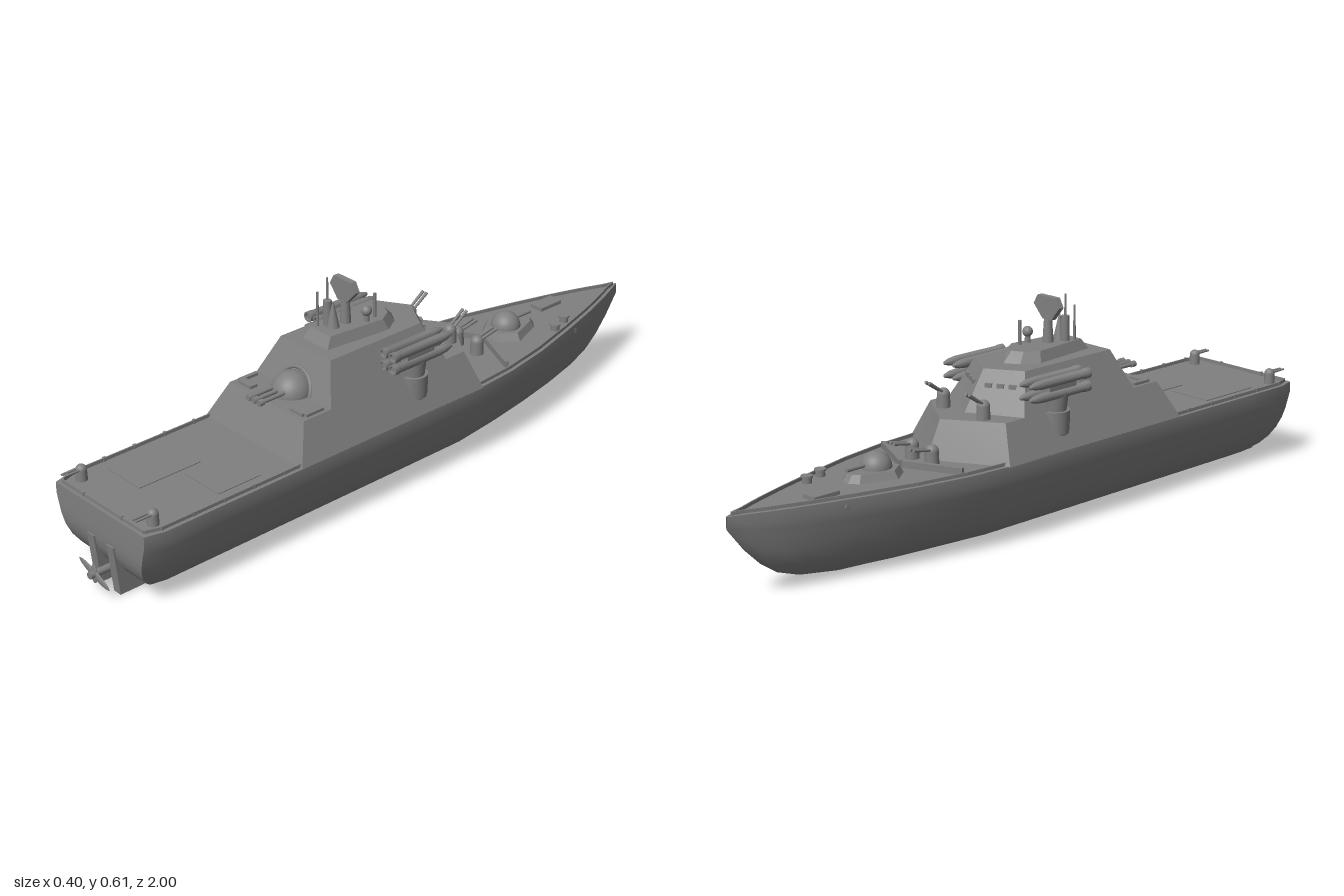
import * as THREE from 'three';
import { toCreasedNormals } from 'three/addons/utils/BufferGeometryUtils.js';

const mat = new THREE.MeshStandardMaterial({ color: 0x808080, side: THREE.DoubleSide });
const DECK = 0.236;

function add(parent, name, geo, x = 0, y = 0, z = 0, rx = 0, ry = 0, rz = 0) {
  const m = new THREE.Mesh(geo, mat);
  m.name = name;
  m.position.set(x, y, z);
  m.rotation.set(rx, ry, rz);
  parent.add(m);
  return m;
}
const box = (w, h, d) => new THREE.BoxGeometry(w, h, d);
const cyl = (rt, rb, h, n = 20) => new THREE.CylinderGeometry(rt, rb, h, n);
const dome = (r) => new THREE.SphereGeometry(r, 32, 14, 0, Math.PI * 2, 0, Math.PI / 2);

function build(pos, idx, crease) {
  const g = new THREE.BufferGeometry();
  g.setAttribute('position', new THREE.Float32BufferAttribute(pos, 3));
  g.setIndex(idx);
  return toCreasedNormals(g, crease);
}

// Hull stations from bow to stern: [z, half width at deck, keel height]
const stations = [
  [-1, 0.002, 0.2], [-0.95, 0.022, 0.135], [-0.9, 0.042, 0.085], [-0.85, 0.06, 0.05], [-0.78, 0.083, 0.025],
  [-0.66, 0.118, 0.006], [-0.5, 0.16, 0], [-0.35, 0.187, 0], [-0.2, 0.199, 0], [0, 0.2, 0], [0.4, 0.2, 0],
  [0.6, 0.2, 0], [0.75, 0.2, 0], [0.9, 0.2, 0], [0.957, 0.185, 0],
];

// Hull lofted through cross-sections; the stern curves forward towards the keel
function hullGeometry() {
  const half = [[1, DECK], [1, 0.205], [0.96, 0.178], [0.92, 0.15], [0.87, 0.12], [0.81, 0.09], [0.74, 0.063],
    [0.65, 0.041], [0.54, 0.024], [0.41, 0.011], [0.28, 0.004], [0.14, 0]];
  const pos = [], idx = [];
  const n = half.length * 2 + 1;
  for (const [z, w, keel] of stations) {
    const sharp = z < -0.2 ? 1 + 1.1 * (-0.2 - z) / 0.8 : 1;
    const pts = half.map(([f, y]) => [w * Math.pow(f, sharp), y > 0.2 ? y : keel + y * (0.205 - keel) / 0.205]);
    const ring = [...pts, [0, keel], ...pts.slice().reverse().map(([x, y]) => [-x, y])];
    const rake = 0.127 * Math.max(0, (z - 0.6) / 0.357);
    ring.forEach(([x, y]) => pos.push(x, y, z - rake * Math.pow(Math.max(0, 1 - y / 0.18), 3)));
  }
  const last = (stations.length - 1) * n;
  for (let i = 0; i < last; i += n) {
    for (let j = 0; j < n; j++) {
      const a = i + j, b = i + (j + 1) % n;
      idx.push(a, a + n, b, b, a + n, b + n);
    }
  }
  // transom in strips across the beam
  for (let j = 0; j < half.length; j++) {
    const a = last + j, b = last + n - 1 - j;
    idx.push(a, b, a + 1);
    if (j < half.length - 1) idx.push(a + 1, b, b - 1);
  }
  return build(pos, idx, 0.5);
}

// Sloped block between two mirrored outlines; each lists [x, z] on the +x side from aft to fore
function block(bottom, top, y0, y1) {
  const full = (h) => [...h, ...h.filter((p) => p[0] > 0).reverse().map(([x, z]) => [-x, z])];
  const lo = full(bottom), hi = full(top), n = lo.length, pos = [], idx = [];
  lo.forEach(([x, z]) => pos.push(x, y0, z));
  hi.forEach(([x, z]) => pos.push(x, y1, z));
  for (let j = 0; j < n; j++) {
    const k = (j + 1) % n;
    idx.push(j, k, n + j, k, n + k, n + j);
    if (j > 0 && j < n - 1) idx.push(n, n + j, n + j + 1);
  }
  return build(pos, idx, 0.1);
}

// Small twin gun on a drum mount; dir is the z direction it points
function smallGun(name, dir, tilt) {
  const g = new THREE.Group();
  g.name = name;
  add(g, 'gunMount', cyl(0.015, 0.016, 0.03), 0, 0.015, 0);
  add(g, 'gunCap', dome(0.015), 0, 0.03, 0);
  const arm = new THREE.Group();
  arm.position.y = 0.033;
  arm.rotation.x = -tilt * dir;
  for (const x of [-0.006, 0.006]) add(arm, 'gunBarrel', cyl(0.003, 0.004, 0.055, 10), x, 0, dir * 0.03, Math.PI / 2);
  g.add(arm);
  return g;
}

// Four launch tubes on a bracketed drum
function launcher(s) {
  const g = new THREE.Group();
  g.name = s > 0 ? 'leftLauncher' : 'rightLauncher';
  add(g, 'launcherSponson', cyl(0.042, 0.04, 0.065, 28), s * 0.145, 0.307, 0);
  add(g, 'sponsonFoot', cyl(0.04, 0.01, 0.045, 28), s * 0.145, 0.253, 0);
  add(g, 'launcherNeck', cyl(0.034, 0.028, 0.05), s * 0.15, 0.36, 0);
  add(g, 'tubeCradle', box(0.05, 0.03, 0.1), s * 0.152, 0.41, 0);
  const tube = [[0, -0.1], [0.009, -0.1], [0.01, -0.106], [0.015, -0.106], [0.015, -0.09], [0.0135, -0.087],
    [0.0135, 0.07], [0.011, 0.095], [0.005, 0.115], [0, 0.118]].map(([r, y]) => new THREE.Vector2(r, y));
  for (const x of [0.134, 0.171]) {
    for (const y of [0.391, 0.428]) {
      add(g, 'launchTube', toCreasedNormals(new THREE.LatheGeometry(tube, 20), 0.6), s * x, y, -0.004, -Math.PI / 2);
    }
  }
  return g;
}

export function createModel() {
  const ship = new THREE.Group();
  ship.name = 'patrolShip';
  add(ship, 'hull', hullGeometry());

  // Low rail following the deck edge, with posts
  const edge = stations.slice(1).map(([z, w]) => [Math.max(w - 0.013, 0.004), Math.min(z, 0.945)]);
  for (const s of [1, -1]) {
    const path = [[0, -0.985], ...edge, [0, 0.945]];
    for (let i = 0; i < path.length - 1; i++) {
      const [x0, z0] = path[i], [x1, z1] = path[i + 1];
      const len = Math.hypot(x1 - x0, z1 - z0);
      add(ship, 'deckRail', box(0.004, 0.011, len), s * (x0 + x1) / 2, DECK + 0.004, (z0 + z1) / 2, 0, Math.atan2(s * (x1 - x0), z1 - z0));
    }
    for (let z = 0.5; z < 0.92; z += 0.1) add(ship, 'railPost', box(0.008, 0.013, 0.008), s * 0.187, DECK + 0.005, z);
    add(ship, 'railPost', box(0.008, 0.013, 0.008), s * 0.08, DECK + 0.005, 0.945);
  }

  // Superstructure tiers
  add(ship, 'lowerTier', block([[0.2, 0.45], [0.2, -0.22], [0, -0.34]], [[0.151, 0.4], [0.151, -0.19], [0, -0.29]], DECK - 0.002, 0.34));
  add(ship, 'upperTier', block([[0.151, 0.305], [0.151, -0.12], [0, -0.2]], [[0.1, 0.26], [0.1, -0.07], [0, -0.13]], 0.34, 0.45));
  add(ship, 'deckhouse', block([[0.05, 0.225], [0.07, 0.02], [0.04, -0.03], [0, -0.055]], [[0.04, 0.205], [0.057, 0.03], [0.033, -0.01], [0, -0.025]], 0.45, 0.48));

  // Aft triple gun in its arched housing
  add(ship, 'gunArch', new THREE.TorusGeometry(0.064, 0.006, 8, 32, Math.PI), 0, 0.34, 0.304, -0.38);
  add(ship, 'aftTurret', dome(0.058), 0, 0.34, 0.31);
  for (const x of [-0.022, 0, 0.022]) {
    add(ship, 'aftBarrel', cyl(0.006, 0.006, 0.1, 12), x, 0.358, 0.39, Math.PI / 2);
    add(ship, 'aftMuzzle', cyl(0.009, 0.009, 0.016, 12), x, 0.358, 0.437, Math.PI / 2);
  }
  for (const s of [1, -1]) {
    add(ship, 'tierLocker', box(0.05, 0.008, 0.025), s * 0.105, 0.344, 0.375);
    add(ship, 'tierLocker', box(0.012, 0.008, 0.06), s * 0.135, 0.344, 0.35);
    for (const u of [0.25, 0.5, 0.75]) {
      add(ship, 'bridgeWindow', box(0.02, 0.012, 0.01), s * 0.1186 * u, 0.41, -0.155 + 0.067 * u, 0, -s * 0.514);
    }
    ship.add(launcher(s));
  }

  // Mast group on the deckhouse
  add(ship, 'mastColumn', cyl(0.012, 0.013, 0.072), -0.022, 0.515, 0.16);
  add(ship, 'mastCone', cyl(0.001, 0.018, 0.076), 0, 0.518, 0.16);
  add(ship, 'tallAntenna', cyl(0.003, 0.004, 0.135, 8), -0.028, 0.547, 0.155);
  add(ship, 'sternAntenna', cyl(0.003, 0.004, 0.1, 8), -0.034, 0.53, 0.185);
  add(ship, 'radarPost', cyl(0.011, 0.016, 0.08), 0, 0.515, 0.115);
  const dish = new THREE.Shape([[-0.035, 0.61], [0.035, 0.61], [0.05, 0.583], [0.015, 0.545], [-0.02, 0.545], [-0.035, 0.565], [-0.05, 0.583]]
    .map(([x, y]) => new THREE.Vector2(x, y - 0.58)));
  add(ship, 'radarPanel', new THREE.ExtrudeGeometry(dish, { depth: 0.018, bevelEnabled: false }), 0, 0.58, 0.108);
  add(ship, 'sensorPost', cyl(0.007, 0.009, 0.03), 0.035, 0.492, 0.07);
  add(ship, 'sensorBall', new THREE.SphereGeometry(0.015, 20, 14), 0.035, 0.511, 0.07);
  add(ship, 'foreAntenna', cyl(0.0045, 0.0045, 0.07, 8), 0.03, 0.515, 0.035);

  // Bow turret
  add(ship, 'bowTurretBase', block([[0.035, -0.45], [0.073, -0.5], [0.035, -0.6], [0.012, -0.62]], [[0.03, -0.46], [0.06, -0.503], [0.028, -0.59], [0.01, -0.605]], DECK, 0.257));
  add(ship, 'bowTurretDome', dome(0.043), 0, 0.257, -0.515);
  add(ship, 'bowBarrel', cyl(0.005, 0.006, 0.08, 12), 0, 0.269, -0.575, Math.PI / 2);

  // Breakwater and small guns: [name, x, y, z, direction, tilt, scale]
  const guns = [['foreGun', 0.04, DECK, -0.355, -1, 0.2, 1.25], ['wingGun', 0.08, 0.34, -0.205, -1, 0.6, 1.2], ['sternGun', 0.15, DECK, 0.9, 1, 0, 1]];
  for (const s of [1, -1]) {
    add(ship, 'breakwater', box(0.012, 0.02, 0.175), s * 0.082, DECK + 0.009, -0.39, 0, s * 1.14);
    for (const [name, x, y, z, dir, tilt, size] of guns) {
      const g = smallGun(name, dir, tilt);
      g.position.set(s * x, y, z);
      g.scale.setScalar(size);
      ship.add(g);
    }
  }

  // Deck fittings
  add(ship, 'bowHatch', box(0.045, 0.012, 0.085), -0.04, DECK + 0.005, -0.73);
  for (const [x, z] of [[0.07, -0.69], [0.09, -0.63]]) {
    add(ship, 'bollard', cyl(0.013, 0.013, 0.018), x, DECK + 0.008, z);
    add(ship, 'bollardCap', cyl(0.016, 0.016, 0.005), x, DECK + 0.018, z);
  }
  add(ship, 'aftHatch', box(0.14, 0.003, 0.14), 0.08, DECK + 0.001, 0.62);
  add(ship, 'aftHatch', box(0.14, 0.003, 0.2), -0.08, DECK + 0.001, 0.72);
  for (const s of [1, -1]) add(ship, 'hawsePort', cyl(0.007, 0.007, 0.008, 12), s * 0.104, 0.215, -0.7, 0, 0, Math.PI / 2);

  // Rudders and propeller
  const fin = new THREE.Shape([[0.75, 0], [0.945, 0], [0.96, 0.145], [0.85, 0.145]].map(([z, y]) => new THREE.Vector2(-z, y)));
  for (const s of [1, -1]) {
    add(ship, 'rudder', new THREE.ExtrudeGeometry(fin, { depth: 0.028, bevelEnabled: false }), s * 0.041 - 0.014, 0, 0, 0, Math.PI / 2);
  }
  add(ship, 'propellerShaft', cyl(0.01, 0.01, 0.2), 0, 0.055, 0.9, Math.PI / 2);
  for (const [len, angle] of [[0.066, -0.33], [0.028, Math.PI / 2]]) {
    add(ship, 'propellerBlade', new THREE.SphereGeometry(1, 24, 12), 0, 0.055, 0.984, 0, 0, angle).scale.set(len, 0.013, 0.004);
  }
  return ship;
}
